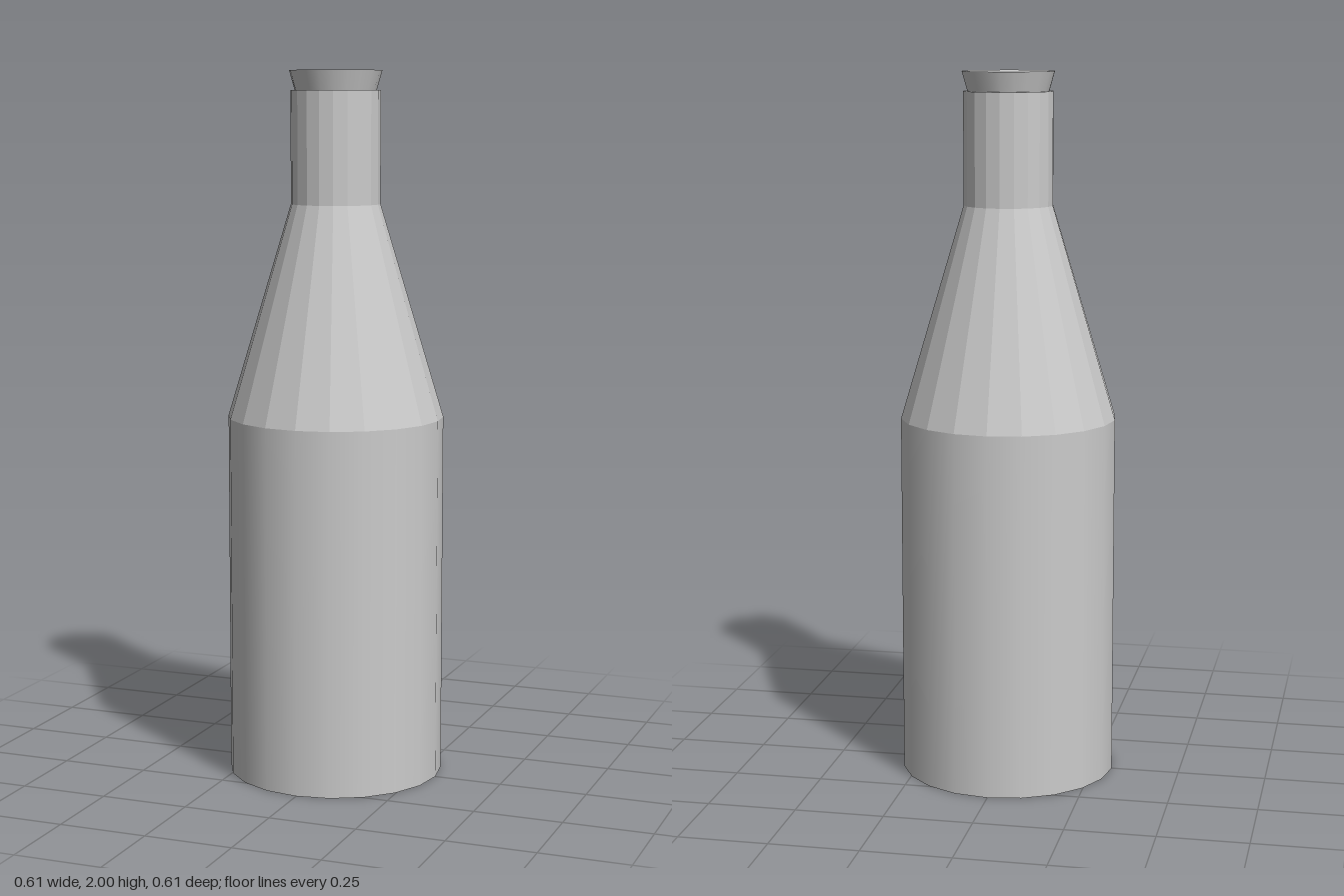
import * as THREE from 'three';

const SIDES = 20;

export function createModel() {
  const group = new THREE.Group();
  group.name = 'bottle';
  const smooth = new THREE.MeshStandardMaterial({ color: 0xcccccc });
  const faceted = new THREE.MeshStandardMaterial({ color: 0xcccccc, flatShading: true });

  // One round section between two heights
  function section(name, rBottom, rTop, y0, y1, material, open = false) {
    const geometry = new THREE.CylinderGeometry(rTop, rBottom, y1 - y0, SIDES, 1, open);
    const mesh = new THREE.Mesh(geometry, material);
    mesh.name = name;
    mesh.position.y = (y0 + y1) / 2;
    group.add(mesh);
  }

  // Flat disc facing up or down
  function disc(name, radius, y, up) {
    const mesh = new THREE.Mesh(new THREE.CircleGeometry(radius, SIDES), smooth);
    mesh.name = name;
    mesh.rotation.x = up ? -Math.PI / 2 : Math.PI / 2;
    mesh.position.y = y;
    group.add(mesh);
  }

  // Continuous shell: base, body, tapering shoulder, neck and rim
  disc('base', 0.306, 0, false);
  section('body', 0.306, 0.306, 0, 1.03, smooth, true);
  section('shoulder', 0.306, 0.126, 1.03, 1.63, faceted, true);
  section('neck', 0.126, 0.126, 1.63, 1.945, faceted, true);
  disc('rim', 0.126, 1.945, true);

  // Stopper, flaring towards the top
  section('stopper', 0.113, 0.13, 1.94, 2, smooth);

  return group;
}
